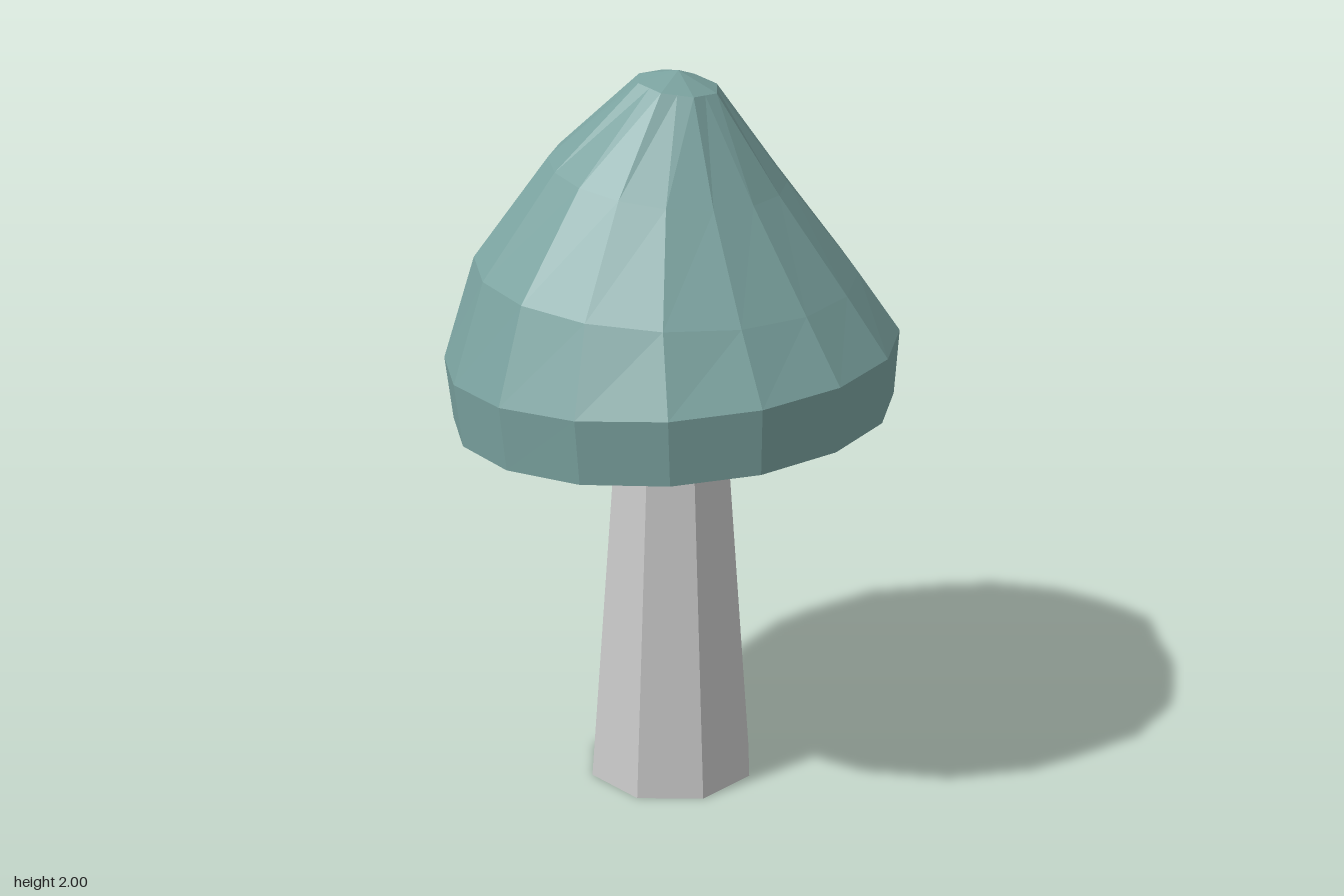
import * as THREE from 'three';

const SIDES = 16;

// Cap rings from underside to tip: radius, centre height, tilt along x, centre x
const RINGS = [
  { r: 0.32, y: 1.0, tilt: 0.055, cx: 0 },
  { r: 0.59, y: 1.08, tilt: 0.07, cx: 0.005 },
  { r: 0.605, y: 1.255, tilt: 0.074, cx: 0 },
  { r: 0.505, y: 1.475, tilt: -0.04, cx: -0.015 },
  { r: 0.31, y: 1.735, tilt: -0.11, cx: -0.01 },
  { r: 0.108, y: 1.965, tilt: -0.14, cx: 0.018, octagon: true },
];

function capGeometry() {
  const positions = [];
  for (const ring of RINGS) {
    for (let i = 0; i < SIDES; i++) {
      const a = (i / SIDES) * Math.PI * 2;
      // The tip ring has eight sides, so its odd points sit on the edge midpoints
      const r = ring.octagon && i % 2 ? ring.r * Math.cos(Math.PI / 8) : ring.r;
      const x = ring.cx + r * Math.cos(a);
      positions.push(x, ring.y + ring.tilt * (x - ring.cx), r * Math.sin(a));
    }
  }
  const last = (RINGS.length - 1) * SIDES;
  const bottom = positions.length / 3;
  const tip = bottom + 1;
  positions.push(0, 1.03, 0, 0.02, 2.0, 0);

  const index = [];
  for (let i = 0; i < SIDES; i++) {
    const j = (i + 1) % SIDES;
    for (let k = 0; k < last; k += SIDES) {
      index.push(k + i, k + SIDES + i, k + j, k + j, k + SIDES + i, k + SIDES + j);
    }
    index.push(bottom, i, j);
    index.push(last + i, tip, last + j);
  }
  const geometry = new THREE.BufferGeometry();
  geometry.setAttribute('position', new THREE.Float32BufferAttribute(positions, 3));
  geometry.setIndex(index);
  const flat = geometry.toNonIndexed();
  flat.computeVertexNormals();
  return flat;
}

export function createModel() {
  const group = new THREE.Group();
  group.name = 'mushroom';

  // Tapered eight-sided stem, open at the foot
  const stem = new THREE.Mesh(
    new THREE.CylinderGeometry(0.155, 0.238, 1.08, 8, 1, true),
    new THREE.MeshStandardMaterial({ color: 0xcccccc, flatShading: true, side: THREE.DoubleSide })
  );
  stem.name = 'stem';
  stem.position.y = 0.54;
  group.add(stem);

  // Faceted, slightly lopsided cap
  const cap = new THREE.Mesh(
    capGeometry(),
    new THREE.MeshStandardMaterial({ color: 0x7ba3a0, flatShading: true })
  );
  cap.name = 'cap';
  group.add(cap);

  return group;
}
